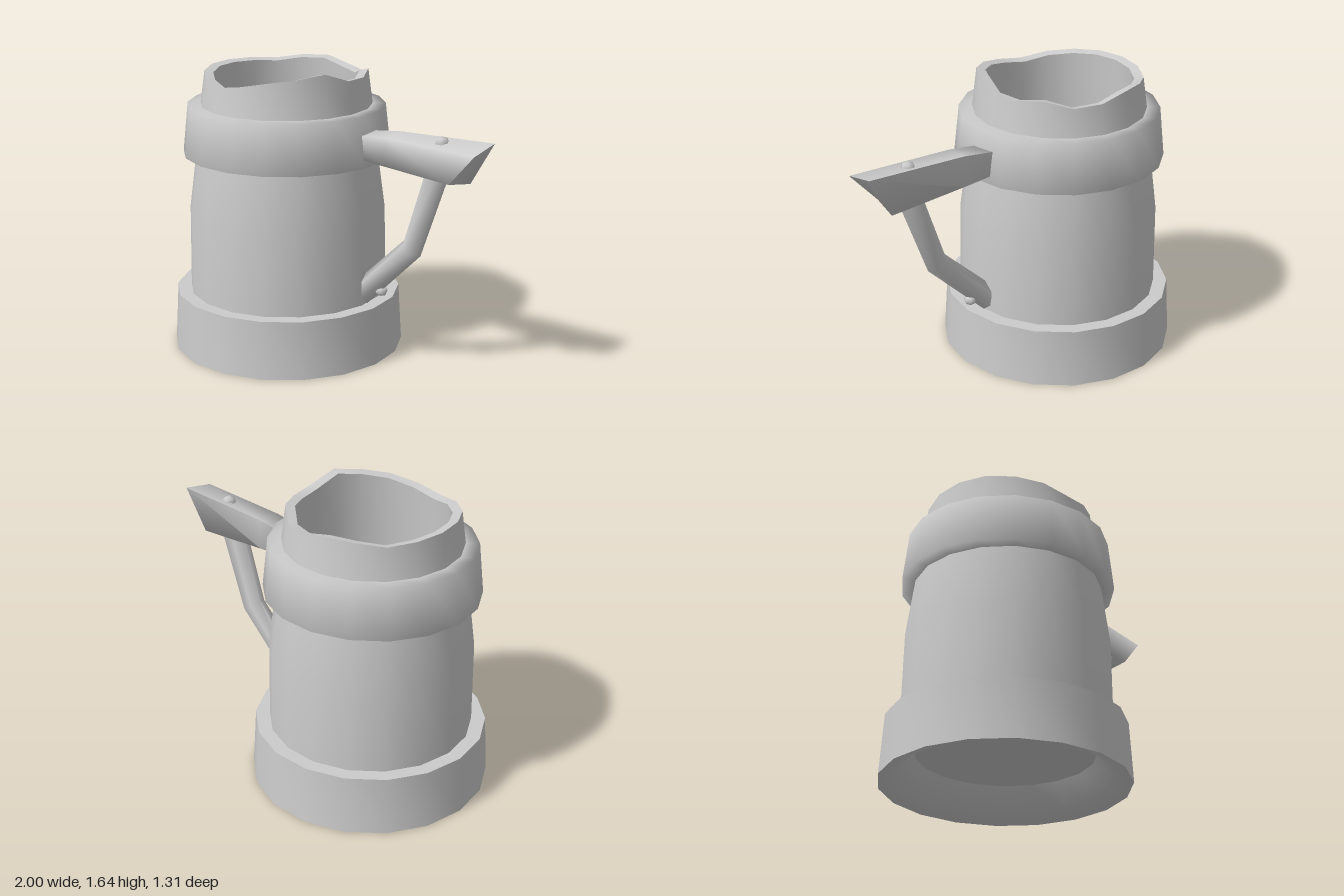
import * as THREE from 'three';
import { toCreasedNormals, mergeVertices } from 'three/addons/utils/BufferGeometryUtils.js';

const SIDES = 18;
const material = new THREE.MeshStandardMaterial({ color: 0xcccccc, side: THREE.DoubleSide });

function addMesh(parent, name, geometry) {
  const mesh = new THREE.Mesh(geometry, material);
  mesh.name = name;
  parent.add(mesh);
  return mesh;
}

// Turned part with a corner on the x axis; profile is [radius, y] pairs
function turned(profile) {
  const points = profile.map(([r, y]) => new THREE.Vector2(r, y));
  return new THREE.LatheGeometry(points, SIDES, Math.PI / 2);
}

// Skin through equal-length cross-sections of [x, y, z], closed at both ends
function loft(sections, crease) {
  const n = sections[0].length;
  const last = (sections.length - 1) * n;
  const index = [];
  for (let s = 0; s < sections.length - 1; s++) {
    for (let i = 0; i < n; i++) {
      const a = s * n + i, b = s * n + (i + 1) % n;
      index.push(a, b, b + n, a, b + n, a + n);
    }
  }
  for (let i = 1; i < n - 1; i++) {
    index.push(0, i + 1, i, last, last + i, last + i + 1);
  }
  const geometry = new THREE.BufferGeometry();
  geometry.setAttribute('position', new THREE.Float32BufferAttribute(sections.flat(2), 3));
  geometry.setIndex(index);
  geometry.computeVertexNormals();
  return toCreasedNormals(geometry, crease);
}

// Six-sided section of the strut between an inner and an outer edge point
function strutSection([ix, iy], [ox, oy], z, halfWidth) {
  const ring = [];
  for (let i = 0; i < 6; i++) {
    const a = (i / 6) * Math.PI * 2;
    const t = 0.5 - 0.5 * Math.cos(a);
    ring.push([ix + (ox - ix) * t, iy + (oy - iy) * t, z + Math.sin(a) * halfWidth * 1.15]);
  }
  return ring;
}

export function createModel() {
  const model = new THREE.Group();
  model.name = 'tankard';

  const vessel = new THREE.Group();
  vessel.name = 'vessel';
  vessel.position.x = -0.335;
  model.add(vessel);

  // Heavy foot band, hollow underneath
  addMesh(vessel, 'baseBand', toCreasedNormals(turned([
    [0.48, 0.17], [0.57, 0.04], [0.665, 0], [0.645, 0.33], [0.54, 0.33],
  ]), 0.7));
  addMesh(vessel, 'floor', turned([[0.48, 0.17], [0, 0.17]]));

  // Tapering wall
  addMesh(vessel, 'body', turned([[0.567, 0.3], [0.56, 0.8], [0.515, 1.14]]));

  // Upper band, shaded softly over its edges
  const band = turned([[0.49, 1.13], [0.585, 1.13], [0.555, 1.41], [0.47, 1.41]]);
  band.scale(1.015, 1, 1);
  addMesh(vessel, 'upperBand', band);

  // Neck with an uneven lip, and the inner wall down to the floor
  const lip = [1.59, 1.645, 1.625, 1.605, 1.575, 1.55, 1.575, 1.59, 1.6,
    1.6, 1.595, 1.585, 1.605, 1.61, 1.575, 1.565, 1.605, 1.585];
  const neck = turned([[0.487, 1.4], [0.46, 1.6], [0.41, 1.59], [0.43, 1.3], [0.48, 0.17]]);
  const pos = neck.attributes.position;
  for (let i = 0; i < pos.count; i++) {
    if (pos.getY(i) < 1.5) continue;
    const turn = Math.atan2(pos.getZ(i), pos.getX(i)) / (Math.PI * 2);
    const k = (Math.round(turn * SIDES) + SIDES) % SIDES;
    pos.setY(i, pos.getY(i) - 1.6 + lip[k]);
  }
  addMesh(vessel, 'neck', toCreasedNormals(neck, 0.8));

  const handle = new THREE.Group();
  handle.name = 'handle';
  model.add(handle);

  // Upper bar widening to a slanted end
  addMesh(handle, 'handleBar', loft([
    [[0.15, 1.18, 0.015], [0.15, 1.18, -0.115], [0.15, 1.305, -0.12], [0.15, 1.3, 0.015]],
    [[0.4, 1.165, 0.02], [0.4, 1.16, -0.12], [0.4, 1.335, -0.12], [0.4, 1.325, 0.025]],
    [[0.84, 1.15, 0.045], [0.86, 1.125, -0.12], [0.995, 1.36, -0.135], [1, 1.325, 0.05]],
  ], 1.6));

  // Bent strut from the bar down to the wall
  addMesh(handle, 'handleStrut', loft([
    strutSection([0.2, 0.49], [0.23, 0.33], -0.045, 0.05),
    strutSection([0.49, 0.76], [0.6, 0.69], -0.045, 0.055),
    strutSection([0.63, 1.17], [0.78, 1.17], -0.04, 0.06),
  ], 1.2));

  // Small pegs through the joints
  const peg = mergeVertices(new THREE.SphereGeometry(0.042, 6, 4));
  addMesh(handle, 'upperPeg', peg).position.set(0.715, 1.328, -0.06);
  const lowerPeg = addMesh(handle, 'lowerPeg', peg);
  lowerPeg.position.set(0.33, 0.425, -0.05);
  lowerPeg.scale.set(0.8, 0.65, 0.9);

  return model;
}
